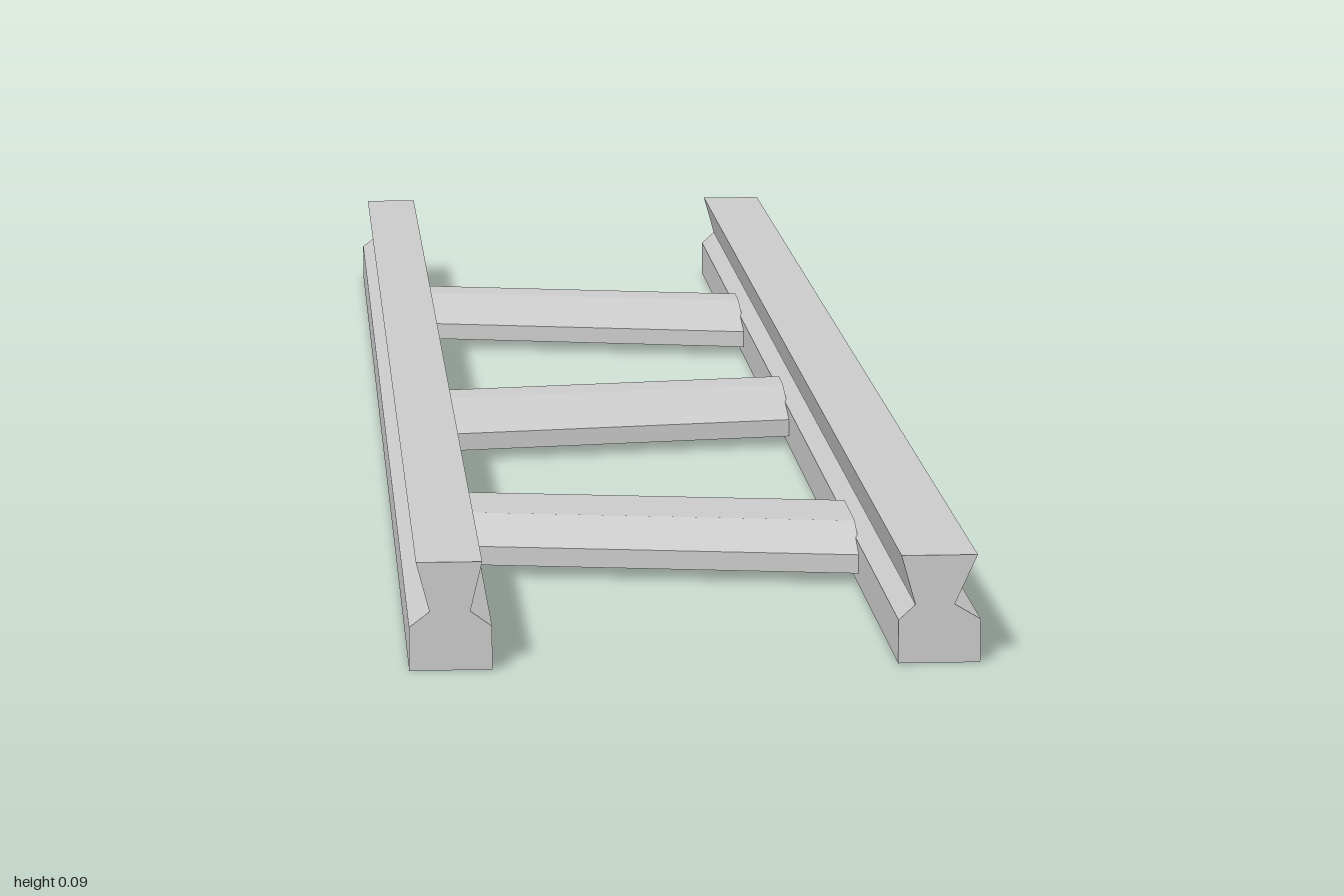
import * as THREE from 'three';

const material = new THREE.MeshStandardMaterial({ color: 0xcccccc, flatShading: true });

// Extrude a closed outline of [x, y] points along +z
function extrude(points, depth) {
  const shape = new THREE.Shape(points.map(([x, y]) => new THREE.Vector2(x, y)));
  return new THREE.ExtrudeGeometry(shape, { depth, bevelEnabled: false });
}

// Rail section: broad foot, pinched waist, flared head
function rail(name, foot, waist, head) {
  const geometry = extrude([
    [foot[0], 0], [foot[1], 0], [foot[1], 0.037], [waist[1], 0.05],
    [head[1], 0.092], [head[0], 0.092], [waist[0], 0.05], [foot[0], 0.037],
  ], 2);
  geometry.translate(0, 0, -1);
  const mesh = new THREE.Mesh(geometry, material);
  mesh.name = name;
  return mesh;
}

// Cross tie: flat underside, sloped top faces, skewed between the rails
function tie({ z, width, slope, back, front }) {
  const span = 0.342, h = width / 2;
  const geometry = extrude([
    [-h, 0.01], [h, 0.01], [h, 0.027],
    [-h + width * front, 0.047], [-h + width * back, 0.048], [-h, 0.027],
  ], span);
  geometry.translate(0, 0, -span / 2);
  geometry.rotateY(-Math.PI / 2);
  const p = geometry.attributes.position;
  for (let i = 0; i < p.count; i++) p.setZ(i, p.getZ(i) + z + slope * p.getX(i));
  geometry.computeVertexNormals();
  return new THREE.Mesh(geometry, material);
}

export function createModel() {
  const model = new THREE.Group();
  model.name = 'railTrack';

  model.add(rail('rightRail', [-0.239, -0.17], [-0.222, -0.188], [-0.233, -0.178]));
  model.add(rail('leftRail', [0.169, 0.238], [0.183, 0.216], [0.171, 0.235]));

  const ties = [
    { name: 'backTie', z: -0.575, width: 0.196, slope: 0.22, back: 0.35, front: 0.56 },
    { name: 'middleTie', z: -0.003, width: 0.197, slope: -0.155, back: 0.36, front: 0.57 },
    { name: 'frontTie', z: 0.569, width: 0.208, slope: 0.17, back: 0.34, front: 0.75 },
  ];
  for (const t of ties) {
    const mesh = tie(t);
    mesh.name = t.name;
    model.add(mesh);
  }
  return model;
}
